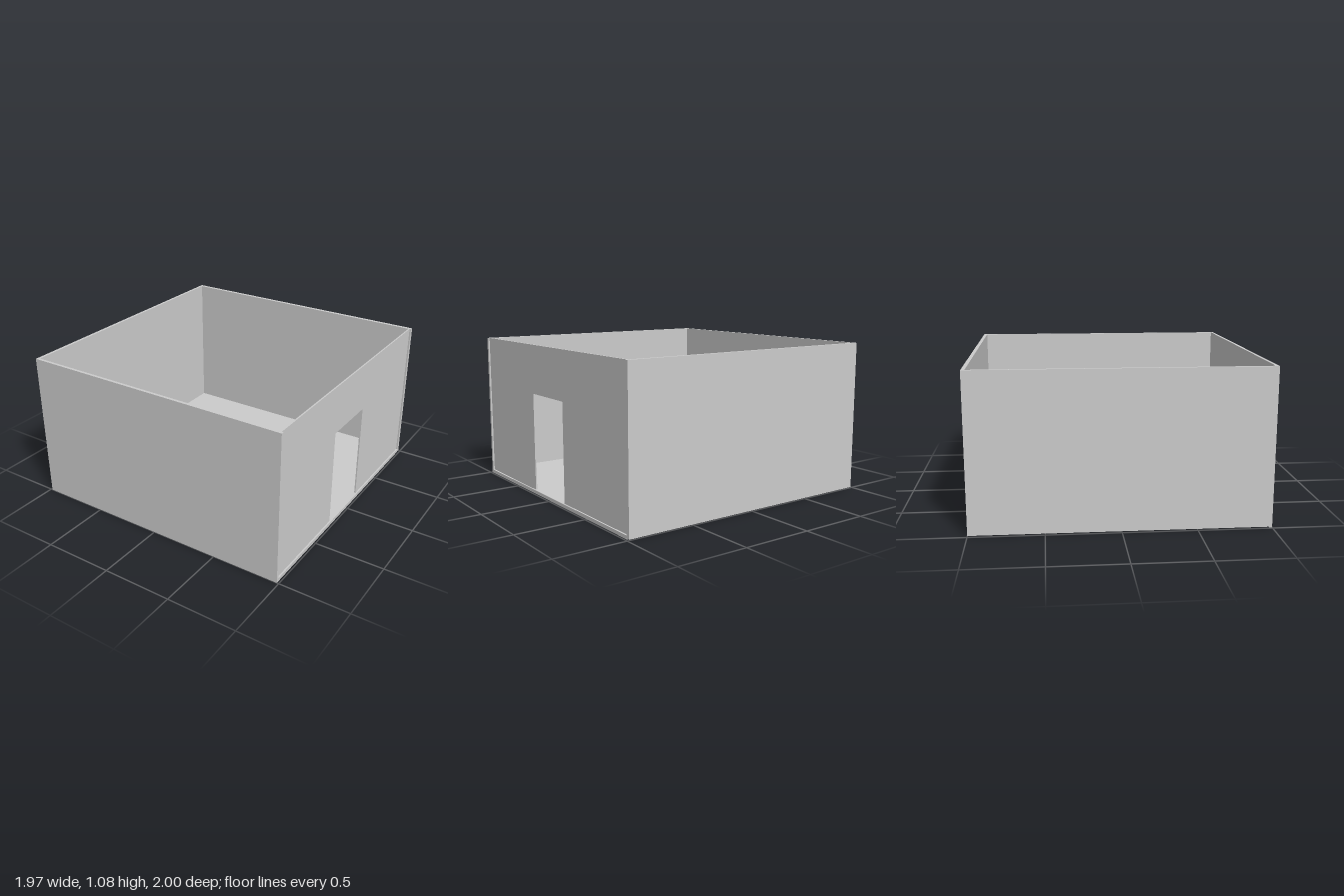
import * as THREE from 'three';

const material = new THREE.MeshStandardMaterial({ color: 0xcccccc, flatShading: true });

export function createModel() {
  const room = new THREE.Group();
  room.name = 'room';

  // Box given by its lower and upper corners
  const slab = (name, [x0, y0, z0], [x1, y1, z1]) => {
    const mesh = new THREE.Mesh(new THREE.BoxGeometry(x1 - x0, y1 - y0, z1 - z0), material);
    mesh.position.set((x0 + x1) / 2, (y0 + y1) / 2, (z0 + z1) / 2);
    mesh.name = name;
    room.add(mesh);
  };

  const X = 0.987, top = 1.08, base = 0.005, floorTop = 0.025;

  // Floor, slightly lower than the walls around it
  slab('floor', [-0.967, 0, -0.975], [X, floorTop, 0.98]);

  // Closed walls
  slab('frontWall', [-X, 0, 0.98], [X, top, 1]);
  slab('backWall', [-X, base, -1], [X, top, -0.975]);
  slab('leftSideWall', [-X, base, -0.975], [-0.967, top, 0.98]);

  // Thin recessed wall with a doorway; the outline runs along -z and y
  const outline = new THREE.Shape([
    [-0.98, floorTop], [-0.245, floorTop], [-0.245, 0.73], [0.185, 0.73],
    [0.185, floorTop], [0.975, floorTop], [0.975, top], [-0.98, top],
  ].map(([x, y]) => new THREE.Vector2(x, y)));
  const doorWall = new THREE.Mesh(
    new THREE.ExtrudeGeometry(outline, { depth: 0.01, bevelEnabled: false }), material);
  doorWall.rotation.y = Math.PI / 2;
  doorWall.position.x = 0.966;
  doorWall.name = 'doorWall';
  room.add(doorWall);

  return room;
}
